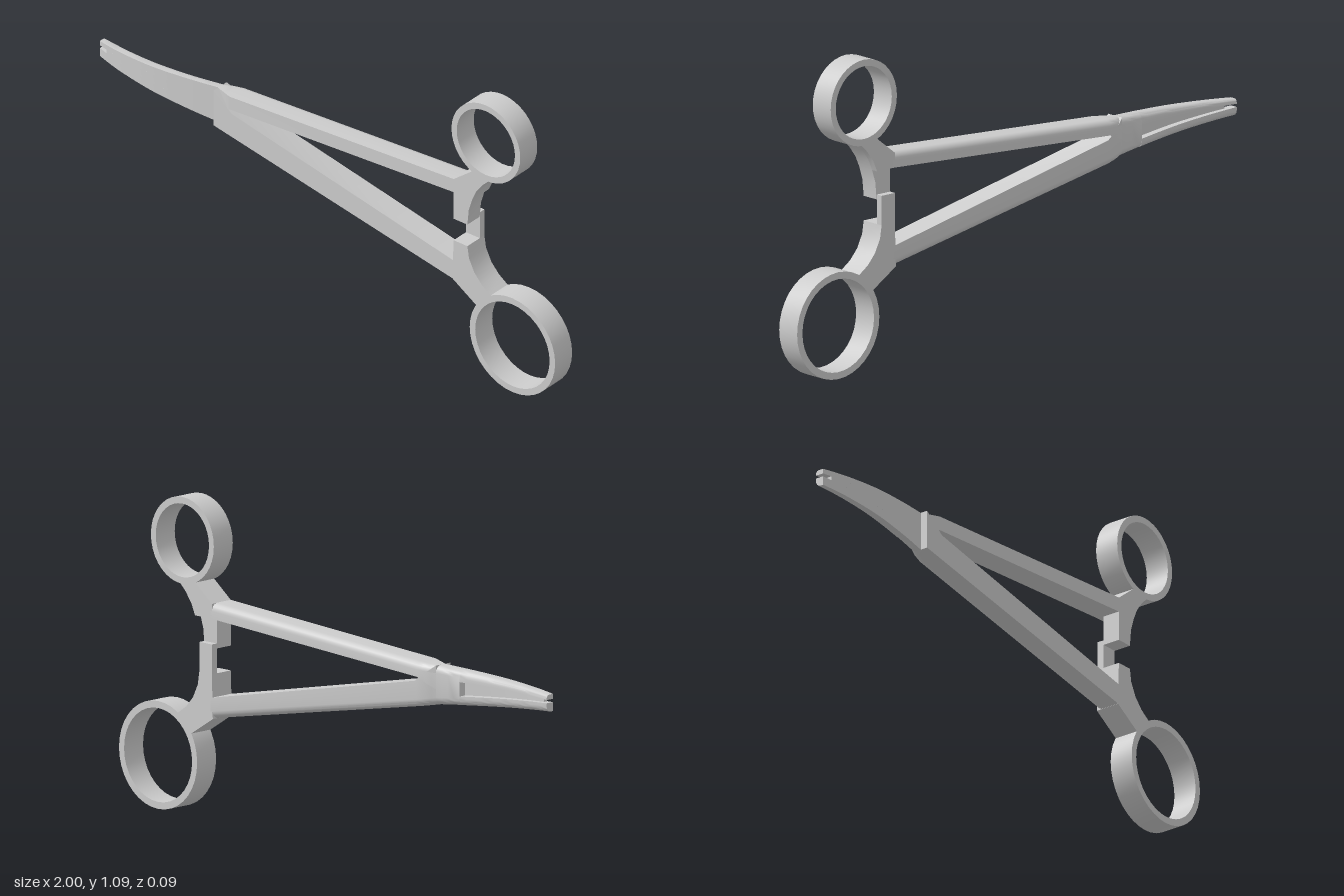
import * as THREE from 'three';
import { toCreasedNormals } from 'three/addons/utils/BufferGeometryUtils.js';

const T = 0.045; // half thickness of the handles
const material = new THREE.MeshStandardMaterial({ color: 0xcccccc, side: THREE.DoubleSide });

// Piecewise linear value through [x, value] pairs
function along(pairs) {
  return (x) => {
    let i = 0;
    while (i < pairs.length - 2 && x > pairs[i + 1][0]) i++;
    const [[x0, v0], [x1, v1]] = [pairs[i], pairs[i + 1]];
    return v0 + (v1 - v0) * (x - x0) / (x1 - x0);
  };
}

// Smooth value through [x, value] pairs
function smoothAlong(pairs) {
  const curve = new THREE.SplineCurve(pairs.map((p) => new THREE.Vector2(...p)));
  return along(curve.getPoints(32).map((p) => [p.x, p.y]));
}

// Convex bar running along x; its back edges may be rounded at bottom and top
function bar(xs, bottom, top, back, front, roundBottom, roundTop) {
  const rings = xs.map((x) => {
    const b = bottom(x), t = top(x), zb = back(x), zf = front(x);
    const r = Math.min(0.026, (zf - zb) * 0.65, (t - b) * 0.7);
    const ring = [[x, b, zf]];
    const steps = 5;
    for (let i = 0; i <= steps; i++) {
      const a = i / steps * Math.PI / 2, rr = roundBottom ? r : 0;
      ring.push([x, b + rr * (1 - Math.cos(a)), zb + rr * (1 - Math.sin(a))]);
    }
    for (let i = 0; i <= steps; i++) {
      const a = i / steps * Math.PI / 2, rr = roundTop ? r : 0;
      ring.push([x, t - rr * (1 - Math.sin(a)), zb + rr * (1 - Math.cos(a))]);
    }
    ring.push([x, t, zf]);
    return ring;
  });
  const pos = [], n = rings[0].length;
  const tri = (...p) => p.forEach((v) => pos.push(...v));
  for (let i = 0; i < rings.length - 1; i++) {
    const A = rings[i], B = rings[i + 1];
    for (let j = 0; j < n; j++) {
      const k = (j + 1) % n;
      tri(A[j], A[k], B[k]);
      tri(A[j], B[k], B[j]);
    }
  }
  const first = rings[0], last = rings[rings.length - 1];
  for (let j = 1; j < n - 1; j++) {
    tri(first[0], first[j + 1], first[j]);
    tri(last[0], last[j], last[j + 1]);
  }
  const g = new THREE.BufferGeometry();
  g.setAttribute('position', new THREE.Float32BufferAttribute(pos, 3));
  return g;
}

function slab(shape, z0, z1) {
  const g = new THREE.ExtrudeGeometry(shape, { depth: z1 - z0, bevelEnabled: false, curveSegments: 18 });
  return g.translate(0, 0, z0);
}

function polygon(points) {
  return new THREE.Shape(points.map((p) => new THREE.Vector2(...p)));
}

function ring(x, y, outer, inner) {
  const s = new THREE.Shape().absarc(x, y, outer, 0, Math.PI * 2, false);
  s.holes.push(new THREE.Path().absarc(x, y, inner, 0, Math.PI * 2, true));
  return slab(s, -T, T);
}

export function createModel() {
  const group = new THREE.Group();
  const add = (name, geometry) => {
    const mesh = new THREE.Mesh(toCreasedNormals(geometry, 0.5), material);
    mesh.name = name;
    group.add(mesh);
  };
  const range = (a, b, n) => Array.from({ length: n + 1 }, (_, i) => a + (b - a) * i / n);

  // Curved jaws: two halves with a slot behind, a thin front web and a solid root
  const jawBack = smoothAlong([[-1, -0.02], [-0.88, -0.005], [-0.75, 0], [-0.6, -0.01], [-0.48, -0.025]]);
  const jawFront = smoothAlong([[-1, 0.01], [-0.9, 0.029], [-0.75, 0.04], [-0.6, 0.032], [-0.48, 0.018]]);
  const jawTop = along([[-1, 0.656], [-0.48, 0.681]]);
  const jawBottom = along([[-1, 0.597], [-0.48, 0.545]]);
  const slotTop = along([[-1, 0.639], [-0.58, 0.637]]);
  const slotBottom = along([[-1, 0.628], [-0.58, 0.588]]);
  const jawXs = range(-1, -0.58, 14);
  add('upperJaw', bar(jawXs, slotTop, jawTop, jawBack, jawFront, false, true));
  add('lowerJaw', bar(jawXs, jawBottom, slotBottom, jawBack, jawFront, true, false));
  add('jawWeb', bar(range(-0.965, -0.58, 12), slotBottom, slotTop,
    (x) => jawFront(x) - 0.016, jawFront, false, false));
  add('jawRoot', bar(range(-0.58, -0.48, 4), jawBottom, jawTop, jawBack, jawFront, true, true));

  // Arms, with the lower one crossing in front at the joint
  const armBack = along([[-0.48, -0.025], [-0.45, -0.037], [-0.41, -T], [0.57, -T]]);
  const armXs = [-0.48, -0.465, -0.45, -0.43, -0.41, -0.4, 0.567];
  add('upperArm', bar(armXs,
    along([[-0.48, 0.6], [-0.41, 0.635], [0.567, 0.69]]),
    along([[-0.48, 0.681], [0.567, 0.742]]), armBack,
    along([[-0.48, 0.02], [-0.41, T], [0.567, T]]), false, true));
  add('lowerArm', bar(armXs,
    along([[-0.48, 0.545], [0.56, 0.347]]),
    along([[-0.48, 0.681], [-0.4, 0.62], [0.56, 0.42]]), armBack,
    () => T, true, false));

  // Finger rings
  add('upperRing', ring(0.7, 0.938, 0.149, 0.126));
  add('lowerRing', ring(0.815, 0.186, 0.185, 0.161));

  // Upper shank with its catch, cut back behind
  add('upperShank', slab(polygon([[0.56, 0.585], [0.62, 0.585], [0.626, 0.645], [0.64, 0.69],
    [0.658, 0.73], [0.685, 0.766], [0.715, 0.795], [0.64, 0.803], [0.56, 0.741]]), -0.02, T));
  add('upperShankBack', slab(polygon([[0.56, 0.69], [0.64, 0.69], [0.658, 0.73], [0.685, 0.766],
    [0.715, 0.795], [0.64, 0.803], [0.56, 0.741]]), -T, -0.02));

  // Lower shank with the catch strip rising behind the upper catch
  add('lowerShank', slab(polygon([[0.556, 0.347], [0.665, 0.278], [0.725, 0.342], [0.682, 0.372],
    [0.65, 0.408], [0.627, 0.455], [0.62, 0.5], [0.56, 0.5]]), -T, T));
  add('catchStrip', slab(polygon([[0.56, 0.49], [0.62, 0.49], [0.62, 0.602], [0.56, 0.602]]), -T, -0.021));

  return group;
}
